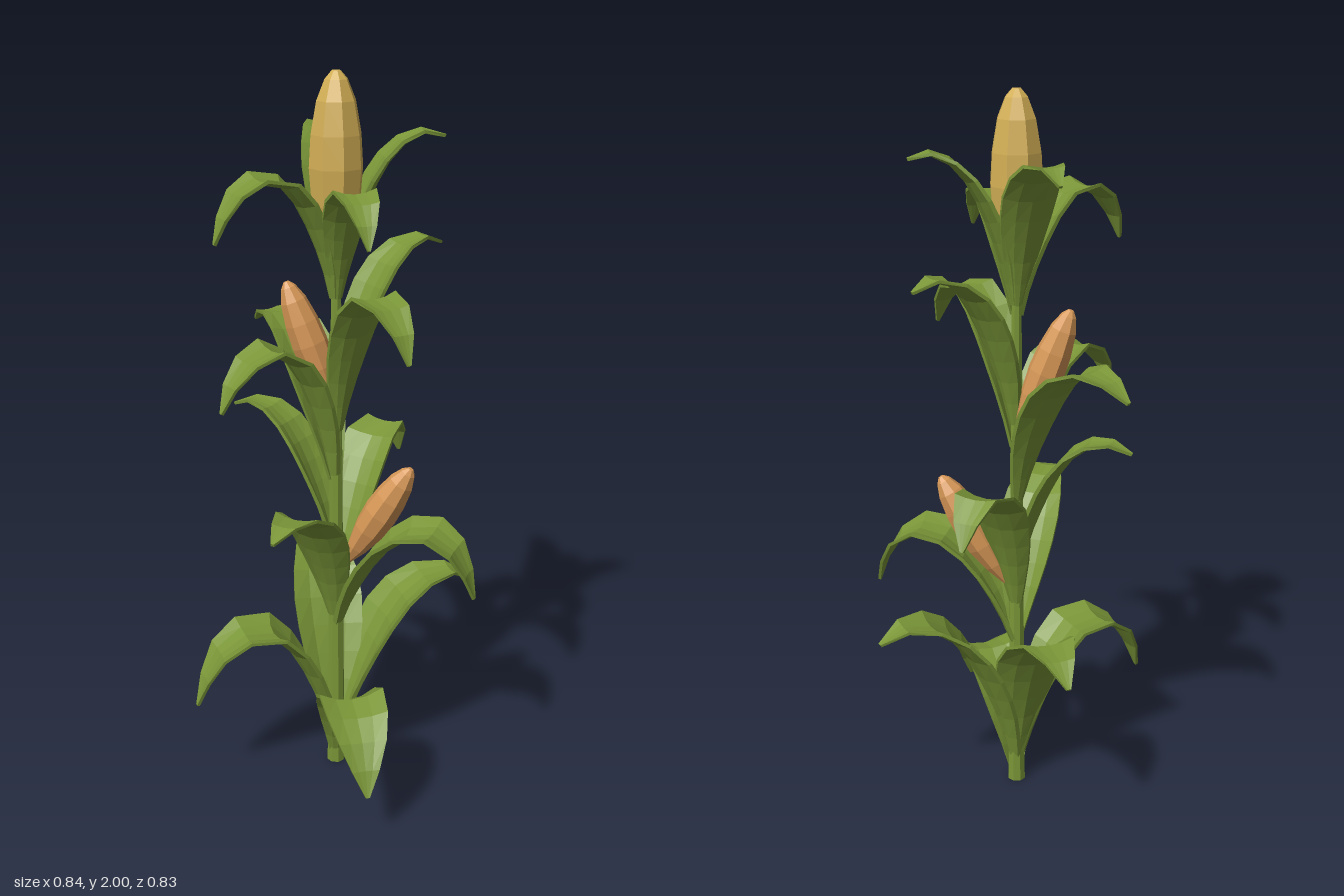
import * as THREE from 'three';

const mat = (name, color) => {
  const m = new THREE.MeshStandardMaterial({ color, flatShading: true });
  m.name = name;
  return m;
};

// Leaf arching along local +x: up from the stalk, over a peak, down to the tip
function leafGeometry(tipR, tipY, peakR, peakY, baseY, half) {
  const rise = peakY - baseY, drop = peakY - tipY, reach = tipR - peakR;
  const pts = [[0.012, baseY]];
  for (const [r, h] of [[0.2, 0.32], [0.47, 0.7], [0.72, 0.91], [1, 1]]) {
    pts.push([r * peakR, baseY + h * rise]);
  }
  pts.push([peakR + reach * 0.65, peakY - drop * 0.32], [tipR, tipY]);
  const path = new THREE.SplineCurve(pts.map(p => new THREE.Vector2(...p)));

  // Half width along the leaf
  const widths = new THREE.SplineCurve([
    [0, 0.22], [0.15, 0.48], [0.3, 0.74], [0.45, 0.93], [0.6, 1], [0.75, 0.86], [0.88, 0.52], [1, 0.06],
  ].map(p => new THREE.Vector2(...p)));

  const SEG = 9, COLS = 4, RING = 2 * (COLS + 1);
  const pos = [], idx = [];
  for (let i = 0; i <= SEG; i++) {
    const t = i / SEG;
    const p = path.getPointAt(t), d = path.getTangentAt(t);
    const w = half * widths.getPoint(t).y;
    const cup = w * (0.5 - 0.4 * t);
    const thick = 0.013 - 0.005 * t;
    for (let k = 0; k < RING; k++) {
      const top = k <= COLS;
      const s = ((top ? k : RING - 1 - k) / COLS) * 2 - 1;
      const n = cup * s * s + (top ? thick / 2 : -thick / 2);
      pos.push(p.x - d.y * n, p.y + d.x * n, s * w);
    }
  }
  for (let i = 0; i < SEG; i++) {
    for (let k = 0; k < RING; k++) {
      const a = i * RING + k, b = i * RING + (k + 1) % RING;
      idx.push(a, b, b + RING, a, b + RING, a + RING);
    }
  }
  const end = SEG * RING;
  for (let k = 1; k < RING - 1; k++) {
    idx.push(0, k + 1, k, end, end + k, end + k + 1);
  }
  const g = new THREE.BufferGeometry();
  g.setAttribute('position', new THREE.Float32BufferAttribute(pos, 3));
  g.setIndex(idx);
  g.computeVertexNormals();
  return g;
}

// Eight-sided ear of unit-scaled profile, standing on its base
function cobGeometry(radius, length) {
  const profile = [
    [0, 0], [0.18, 0], [0.6, 0.17], [0.9, 0.36], [1, 0.54],
    [0.93, 0.7], [0.72, 0.86], [0.42, 0.96], [0.16, 1], [0, 1],
  ].map(([r, y]) => new THREE.Vector2(r * radius, y * length));
  return new THREE.LatheGeometry(profile, 8);
}

export function createModel() {
  const plant = new THREE.Group();
  plant.name = 'cornPlant';
  const green = mat('leafGreen', 0x7a9638);
  const yellow = mat('cornYellow', 0xd2ae55);
  const orange = mat('cobOrange', 0xd69756);

  const add = (name, geometry, material) => {
    const m = new THREE.Mesh(geometry, material);
    m.name = name;
    plant.add(m);
    return m;
  };

  // Stalk
  add('stalk', new THREE.CylinderGeometry(0.013, 0.026, 1.55, 8), green).position.y = 0.775;

  // Leaves: tipX, tipZ, tipY, peak radius, peakY, baseY, half width
  const tiers = {
    bottomLeaf: [
      [-0.415, 0.03, 0.27, 0.24, 0.47, 0.08, 0.09],
      [0.415, -0.01, 0.54, 0.31, 0.575, 0.08, 0.105],
      [-0.03, 0.41, 0.14, 0.23, 0.32, 0.03, 0.09],
      [0.04, -0.41, 0.52, 0.28, 0.575, 0.08, 0.1],
    ],
    lowerLeaf: [
      [0.32, 0.25, 0.61, 0.27, 0.78, 0.46, 0.09],
      [-0.25, 0.28, 0.86, 0.27, 0.88, 0.48, 0.085],
      [0.26, -0.23, 0.88, 0.25, 0.99, 0.58, 0.08],
      [-0.23, -0.23, 1.07, 0.24, 1.09, 0.7, 0.065],
    ],
    upperLeaf: [
      [-0.335, 0.1, 1.16, 0.2, 1.3, 0.92, 0.078],
      [0.32, -0.08, 1.53, 0.25, 1.55, 1.12, 0.075],
      [0.085, 0.35, 1.33, 0.22, 1.46, 1.05, 0.07],
      [-0.13, -0.38, 1.27, 0.27, 1.315, 0.9, 0.085],
    ],
    topLeaf: [
      [-0.33, 0.05, 1.59, 0.19, 1.74, 1.42, 0.075],
      [0.275, 0.05, 1.835, 0.22, 1.845, 1.45, 0.07],
      [-0.005, 0.3, 1.61, 0.19, 1.72, 1.42, 0.06],
      [0.03, -0.31, 1.805, 0.23, 1.84, 1.45, 0.072],
    ],
  };
  for (const [tier, leaves] of Object.entries(tiers)) {
    leaves.forEach(([x, z, ...shape], i) => {
      const leaf = add(tier + (i + 1), leafGeometry(Math.hypot(x, z), ...shape), green);
      leaf.rotation.y = Math.atan2(-z, x);
    });
  }

  // Ear at the top of the stalk
  add('topCob', cobGeometry(0.072, 0.52), yellow).position.y = 1.48;

  // Side ears leaning away from the stalk
  const sideCobs = [
    ['lowerCob', [0.03, 0.65, 0.005], [0.18, 0.955, 0.11]],
    ['upperCob', [0.015, 1.08, -0.04], [-0.11, 1.445, -0.1]],
  ];
  for (const [name, from, to] of sideCobs) {
    const a = new THREE.Vector3(...from), dir = new THREE.Vector3(...to).sub(a);
    const cob = add(name, cobGeometry(0.05, dir.length()), orange);
    cob.position.copy(a);
    cob.quaternion.setFromUnitVectors(new THREE.Vector3(0, 1, 0), dir.normalize());
  }
  return plant;
}
